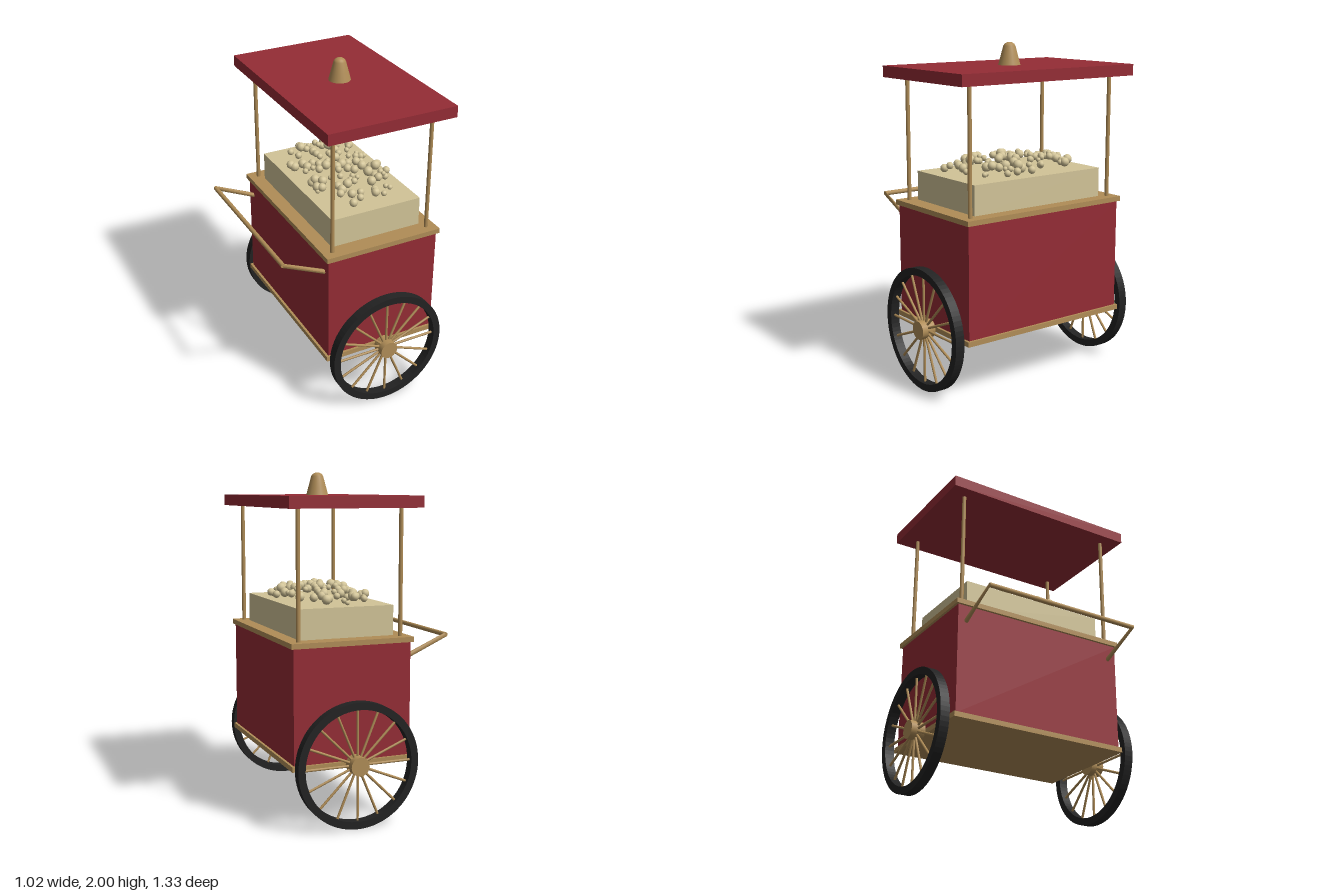
import * as THREE from 'three';

const material = (name, color) => {
  const m = new THREE.MeshStandardMaterial({ color });
  m.name = name;
  return m;
};

export function createModel() {
  const cart = new THREE.Group();
  cart.name = 'snackCart';
  const red = material('red paint', 0x942c35);
  const brass = material('brass', 0xb08d57);
  const cream = material('cream', 0xd2c498);
  const black = material('black rubber', 0x222222);
  const CX = 0.11; // centre of the cart body

  const add = (name, geometry, mat, parent = cart) => {
    const mesh = new THREE.Mesh(geometry, mat);
    mesh.name = name;
    parent.add(mesh);
    return mesh;
  };
  const slab = (name, w, d, y0, y1, mat) =>
    add(name, new THREE.BoxGeometry(w, y1 - y0, d), mat).position.set(CX, (y0 + y1) / 2, 0);

  // Body, trims, popcorn bed and roof
  slab('body', 0.71, 1.11, 0.375, 1.04, red);
  slab('bottomTrim', 0.74, 1.14, 0.35, 0.38, brass);
  slab('topTrim', 0.74, 1.14, 1.04, 1.07, brass);
  slab('popcornBed', 0.575, 0.93, 1.07, 1.245, cream);
  slab('roof', 0.795, 1.245, 1.8, 1.867, red);

  // Roof posts
  for (const x of [-0.2, 0.42]) for (const z of [-0.512, 0.512])
    add('post', new THREE.CylinderGeometry(0.012, 0.012, 0.74, 10), brass).position.set(x, 1.435, z);

  // Domed finial
  const finial = [[0.066, 0], [0.05, 0.06], [0.036, 0.112], [0.029, 0.124], [0.016, 0.132], [0, 0.135]];
  add('finial', new THREE.LatheGeometry(finial.map(([r, y]) => new THREE.Vector2(r, y)), 20), brass)
    .position.set(CX, 1.865, 0);

  // Popcorn in a low mound
  let seed = 7;
  const rand = () => (seed = (seed * 16807) % 2147483647) / 2147483647;
  const popcorn = new THREE.Group();
  popcorn.name = 'popcorn';
  cart.add(popcorn);
  for (let i = 0; i < 90; i++) {
    const a = i * 2.39996 + rand() * 0.7;
    const r = Math.sqrt((i + 0.5) / 90);
    const size = 0.014 + 0.016 * rand();
    add('kernel', new THREE.SphereGeometry(size, 10, 8), cream, popcorn).position.set(
      CX + 0.265 * r * Math.cos(a),
      1.275 + 0.05 * (1 - r * r) + (rand() - 0.5) * 0.03,
      0.44 * r * Math.sin(a));
  }

  // Wheels: rectangular tyre, hub and sixteen spokes
  const tyre = new THREE.Shape().absarc(0, 0, 0.365, 0, Math.PI * 2);
  tyre.holes.push(new THREE.Path().absarc(0, 0, 0.322, 0, Math.PI * 2, true));
  const tyreGeometry = new THREE.ExtrudeGeometry(tyre, { depth: 0.056, bevelEnabled: false, curveSegments: 40 });
  tyreGeometry.translate(0, 0, -0.028);
  const hubGeometry = new THREE.CylinderGeometry(0.055, 0.055, 0.086, 20).rotateX(Math.PI / 2);
  const spokeGeometry = new THREE.CylinderGeometry(0.0075, 0.0075, 0.3, 8).translate(0, 0.18, 0);
  for (const side of [-1, 1]) {
    const wheel = new THREE.Group();
    wheel.name = side > 0 ? 'frontWheel' : 'backWheel';
    wheel.position.set(CX, 0.368, side * 0.623);
    add('tyre', tyreGeometry, black, wheel);
    add('hub', hubGeometry, brass, wheel);
    for (let i = 0; i < 16; i++)
      add('spoke', spokeGeometry, brass, wheel).rotation.z = i * Math.PI / 8;
    cart.add(wheel);
  }

  // Push handle: cross bar and two arms that flatten toward the bar
  const handle = new THREE.Group();
  handle.name = 'handle';
  cart.add(handle);
  const bar = new THREE.CylinderGeometry(0.014, 0.014, 1.005, 10).rotateX(Math.PI / 2);
  add('handleBar', bar, brass, handle).position.set(-0.5, 1.06, 0);
  const dx = 0.27, dy = -0.12, length = Math.hypot(dx, dy);
  const armGeometry = new THREE.CylinderGeometry(0.014, 0.014, length, 10);
  const p = armGeometry.attributes.position;
  for (let i = 0; i < p.count; i++) if (p.getY(i) > 0) p.setZ(i, p.getZ(i) * 0.15);
  armGeometry.computeVertexNormals();
  for (const z of [-0.501, 0.501]) {
    const arm = add('handleArm', armGeometry, brass, handle);
    arm.position.set(-0.5 + dx / 2, 1.06 + dy / 2, z);
    arm.rotation.z = Math.atan2(dx, -dy);
  }
  return cart;
}
